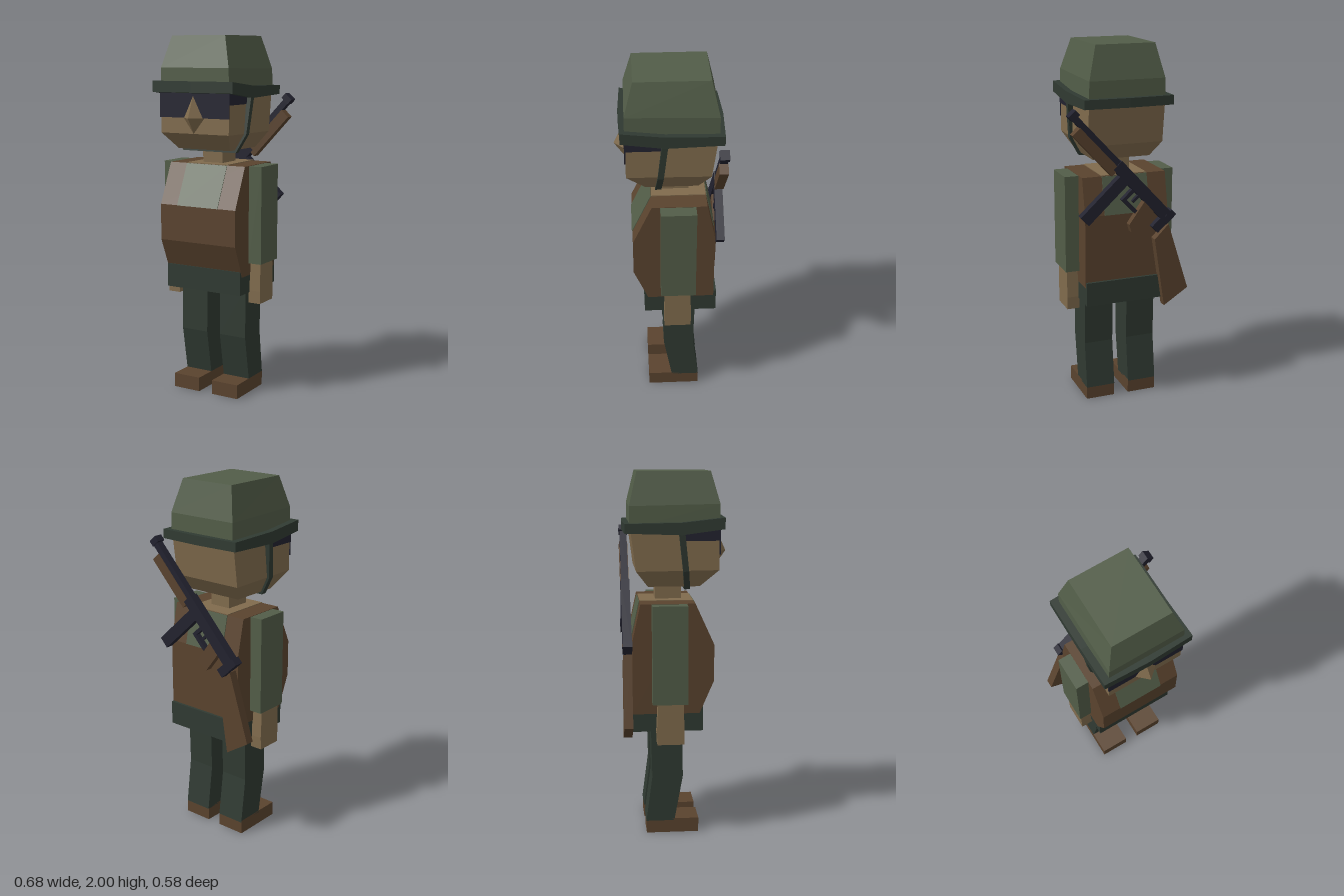
import * as THREE from 'three';

const mat = (name, color) => {
  const m = new THREE.MeshStandardMaterial({ color });
  m.name = name;
  return m;
};

export function createModel() {
  const green = mat('field green', 0x525d48);
  const darkGreen = mat('dark green', 0x303a32);
  const skin = mat('skin', 0x806b4d);
  const brown = mat('leather brown', 0x5a432e);
  const navy = mat('gun metal', 0x22222f);

  const model = new THREE.Group();
  model.name = 'soldier';

  const add = (name, geo, material, parent = model) => {
    const mesh = new THREE.Mesh(geo, material);
    mesh.name = name;
    parent.add(mesh);
    return mesh;
  };

  // Box given by its limits
  const box = (name, m, x0, x1, y0, y1, z0, z1, parent) => {
    const g = new THREE.BoxGeometry(x1 - x0, y1 - y0, z1 - z0);
    g.translate((x0 + x1) / 2, (y0 + y1) / 2, (z0 + z1) / 2);
    return add(name, g, m, parent);
  };

  // Rectangular cross-sections from bottom to top: [yFront, yBack, x0, x1, z0, z1]
  const loft = (rings) => {
    const pos = [];
    const corners = rings.map(([yf, yb, x0, x1, z0, z1]) =>
      [[x0, yf, z1], [x1, yf, z1], [x1, yb, z0], [x0, yb, z0]]);
    const quad = (a, b, c, d) => pos.push(...a, ...b, ...c, ...a, ...c, ...d);
    for (let i = 0; i < corners.length - 1; i++) {
      const lo = corners[i], hi = corners[i + 1];
      for (let k = 0; k < 4; k++) {
        const n = (k + 1) % 4;
        quad(lo[k], lo[n], hi[n], hi[k]);
      }
    }
    quad(...corners[corners.length - 1]);
    quad(...[...corners[0]].reverse());
    const g = new THREE.BufferGeometry();
    g.setAttribute('position', new THREE.Float32BufferAttribute(pos, 3));
    g.computeVertexNormals();
    return g;
  };

  const outline = (pts) => new THREE.Shape(pts.map(([x, y]) => new THREE.Vector2(x, y)));

  // Side profile of [z, y] points stretched from x0 to x1
  const sideSlab = (pts, x0, x1, steps = 1) => {
    const g = new THREE.ExtrudeGeometry(outline(pts.map(([z, y]) => [-z, y])),
      { depth: x1 - x0, bevelEnabled: false, steps });
    g.rotateY(Math.PI / 2);
    g.translate(x0, 0, 0);
    return g;
  };

  // Front outline of [x, y] points stretched from z0 to z1
  const frontSlab = (pts, z0, z1) => {
    const g = new THREE.ExtrudeGeometry(outline(pts), { depth: z1 - z0, bevelEnabled: false });
    g.translate(0, 0, z0);
    return g;
  };

  // Helmet dome
  add('helmet', loft([
    [1.70, 1.70, -0.207, 0.22, -0.25, 0.233],
    [1.83, 1.82, -0.205, 0.217, -0.25, 0.233],
    [2.0, 2.0, -0.163, 0.168, -0.207, 0.186],
  ]), green);

  // Brim, bowed slightly at front and back
  const brim = sideSlab([[0.265, 1.76], [0.265, 1.70], [0.03, 1.67], [-0.285, 1.68],
    [-0.285, 1.73], [0.03, 1.735]], -0.245, 0.253, 2);
  const bp = brim.attributes.position;
  for (let i = 0; i < bp.count; i++) {
    if (Math.abs(bp.getX(i)) > 0.1) bp.setZ(i, bp.getZ(i) * 0.965);
  }
  brim.computeVertexNormals();
  add('helmetBrim', brim, darkGreen);

  // Chin strap, leaning forward towards the chin
  const strap = frontSlab([[-0.24, 1.70], [-0.222, 1.475], [-0.165, 1.373], [0.172, 1.373],
    [0.23, 1.475], [0.25, 1.70], [0.22, 1.70], [0.213, 1.48], [0.16, 1.395],
    [-0.155, 1.395], [-0.203, 1.48], [-0.208, 1.70]], 0.01, 0.042);
  const sp = strap.attributes.position;
  for (let i = 0; i < sp.count; i++) sp.setZ(i, sp.getZ(i) + (1.70 - sp.getY(i)) * 0.11);
  strap.computeVertexNormals();
  add('chinStrap', strap, darkGreen);

  // Head
  add('head', loft([
    [1.388, 1.388, -0.16, 0.166, -0.15, 0.13],
    [1.48, 1.475, -0.208, 0.217, -0.215, 0.23],
    [1.72, 1.72, -0.208, 0.217, -0.247, 0.23],
  ]), skin);
  box('neck', skin, -0.06, 0.065, 1.28, 1.41, -0.105, 0.037);

  // Nose pyramid
  const noseRing = [[0, 1.695], [-0.063, 1.565], [0, 1.48], [0.067, 1.565]];
  const nosePos = [];
  noseRing.forEach(([x, y], i) => {
    const [nx, ny] = noseRing[(i + 1) % 4];
    nosePos.push(x, y, 0.23, nx, ny, 0.23, 0.002, 1.565, 0.29);
  });
  const nose = new THREE.BufferGeometry();
  nose.setAttribute('position', new THREE.Float32BufferAttribute(nosePos, 3));
  nose.computeVertexNormals();
  add('nose', nose, skin);

  // Sunglasses
  box('sunglassesLens', navy, -0.212, 0.221, 1.565, 1.71, 0.229, 0.236);
  box('sunglassesRightTemple', navy, -0.213, -0.207, 1.637, 1.71, 0.04, 0.234);
  box('sunglassesLeftTemple', navy, 0.216, 0.222, 1.637, 1.71, 0.04, 0.234);

  // Vest with shirt showing at chest and back, bare collar on top
  add('vest', sideSlab([[0.10, 1.305], [0.203, 1.08], [0.203, 0.88], [0.125, 0.70],
    [-0.24, 0.70], [-0.24, 1.10], [-0.195, 1.305]], -0.234, 0.242), brown);
  add('shirtFront', sideSlab([[0.104, 1.304], [0.207, 1.08], [0.2, 1.08], [0.097, 1.304]],
    -0.125, 0.132), green);
  add('shirtBack', sideSlab([[-0.199, 1.304], [-0.244, 1.10], [-0.238, 1.10], [-0.193, 1.304]],
    -0.125, 0.132), green);
  box('collar', skin, -0.125, 0.132, 1.302, 1.309, -0.193, 0.098);
  box('hips', darkGreen, -0.23, 0.24, 0.60, 0.732, -0.255, 0.145);

  // Limbs, mirrored about the body axis
  for (const [label, s] of [['right', -1], ['left', 1]]) {
    const c = 0.006;
    const span = (inner, outer) => (s < 0 ? [c - outer, c - inner] : [c + inner, c + outer]);
    box(label + 'Sleeve', green, ...span(0.235, 0.313), 0.767, 1.303, -0.135, 0.055);
    const [h0, h1] = span(0.228, 0.299);
    add(label + 'Hand', loft([
      [0.54, 0.54, h0, h1, -0.11, 0.037],
      [0.61, 0.61, h0, h1, -0.113, 0.037],
      [0.78, 0.78, h0, h1, -0.105, 0.032],
    ]), skin);
    const [l0, l1] = span(0.042, 0.207);
    add(label + 'Leg', sideSlab([[0.032, 0.62], [0.037, 0.33], [-0.01, 0.07], [-0.167, 0.07],
      [-0.133, 0.33], [-0.14, 0.62]], l0, l1), darkGreen);
    box(label + 'Shoe', brown, l0, l1, 0, 0.08, -0.165, 0.125);
  }

  // Rifle slung over the back: local x runs to the muzzle, local -y is its underside
  const rifle = new THREE.Group();
  rifle.name = 'rifle';
  rifle.position.set(-0.24, 1.06, -0.266);
  rifle.rotation.z = THREE.MathUtils.degToRad(47);
  model.add(rifle);
  const part = (name, m, x0, x1, y0, y1, d = 0.025) => box(name, m, x0, x1, y0, y1, -d, d, rifle);
  part('receiver', navy, 0, 0.45, -0.045, 0.02);
  part('rearSight', navy, 0.0, 0.04, -0.045, 0.032, 0.026);
  part('barrel', navy, 0.44, 0.82, -0.02, 0.014, 0.02);
  part('muzzle', navy, 0.795, 0.83, -0.024, 0.028);
  part('handguard', brown, 0.43, 0.745, -0.075, -0.018, 0.024);
  part('magazine', navy, 0.33, 0.395, -0.345, -0.03, 0.022);
  part('triggerGuardFront', navy, 0.27, 0.29, -0.115, -0.04, 0.015);
  part('triggerGuardBase', navy, 0.18, 0.29, -0.125, -0.105, 0.015);
  part('trigger', navy, 0.225, 0.24, -0.09, -0.04, 0.01);
  part('stockLink', navy, 0.0, 0.05, -0.11, -0.03, 0.018);
  add('pistolGrip', frontSlab([[0.11, -0.04], [0.19, -0.04], [0.16, -0.19], [0.12, -0.21],
    [0.085, -0.18]], -0.02, 0.02), brown, rifle);
  add('stock', frontSlab([[-0.22, 1.03], [-0.14, 0.95], [-0.2, 0.56], [-0.34, 0.65]],
    -0.29, -0.242), brown);

  return model;
}
